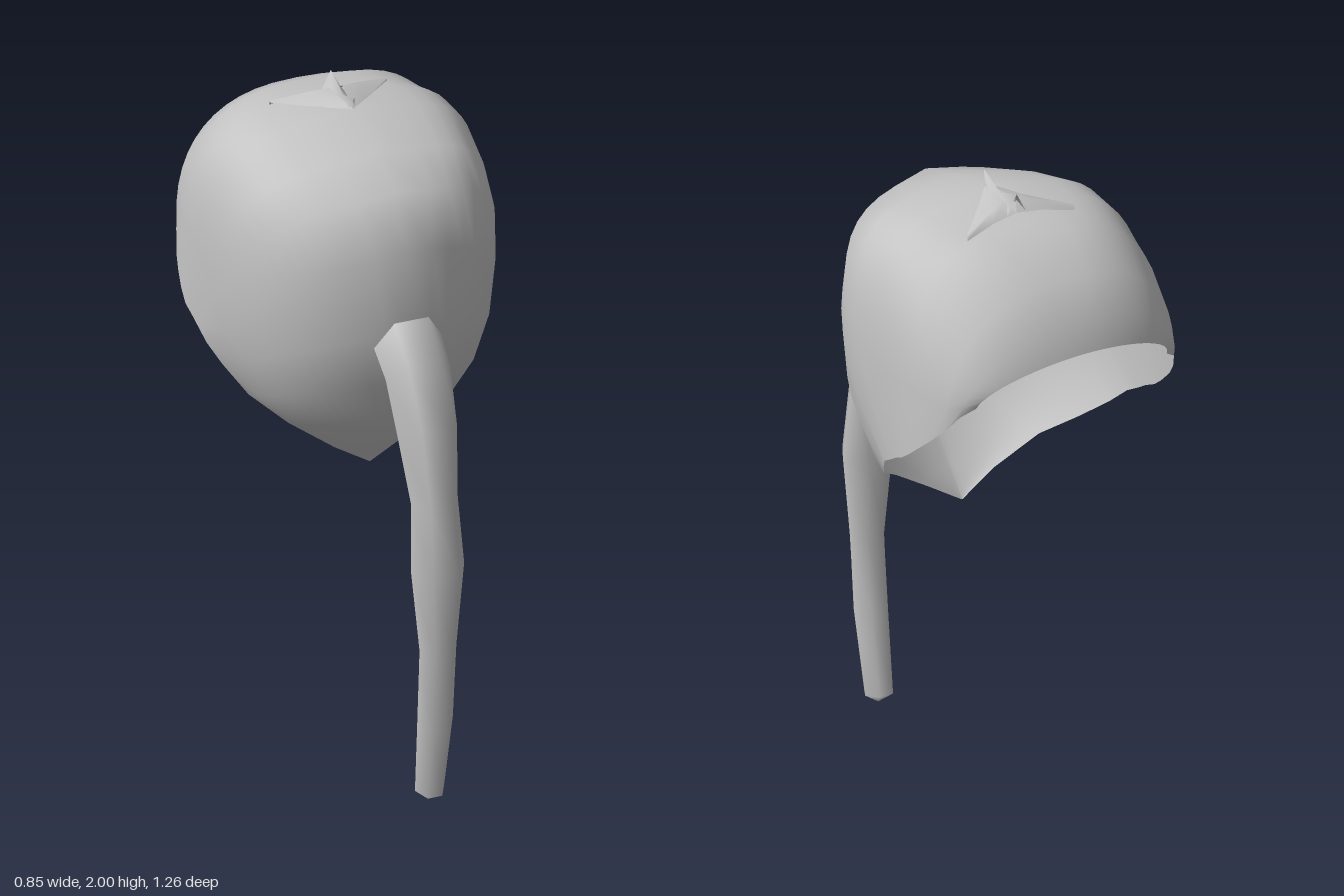
import * as THREE from 'three';

const grey = new THREE.MeshStandardMaterial({ color: 0xc4c4c4, side: THREE.DoubleSide });
grey.name = 'plain grey';

// Smooth skin over rows of points; closed rows wrap around
function loft(name, rows, closed) {
  const n = rows[0].length, index = [];
  const steps = closed ? n : n - 1;
  for (let i = 0; i < rows.length - 1; i++) {
    for (let j = 0; j < steps; j++) {
      const a = i * n + j, b = i * n + (j + 1) % n;
      index.push(a, b, a + n, b, b + n, a + n);
    }
  }
  const geometry = new THREE.BufferGeometry();
  geometry.setAttribute('position', new THREE.Float32BufferAttribute(rows.flat(2), 3));
  geometry.setIndex(index);
  geometry.computeVertexNormals();
  const mesh = new THREE.Mesh(geometry, grey);
  mesh.name = name;
  return mesh;
}

// Hood: arches from the centre line down to the open rim.
// Each station: centre z, y; rim z, y, half width; squareness; centre crease
function makeHood() {
  const stations = [
    [0.04, 0.87, 0.04, 0.87, 0.002, 1.5, 0],
    [0.10, 0.95, 0.045, 0.94, 0.11, 1.6, 0.1],
    [0.24, 1.12, 0.01, 1.03, 0.24, 1.9, 0.12],
    [0.31, 1.27, -0.07, 1.10, 0.33, 2.1, 0.13],
    [0.34, 1.45, -0.15, 1.17, 0.38, 2.4, 0.13],
    [0.32, 1.70, -0.20, 1.22, 0.408, 2.6, 0.13],
    [0.24, 1.855, -0.25, 1.25, 0.415, 3.1, 0.13],
    [0.08, 1.905, -0.28, 1.27, 0.42, 3.7, 0.12],
    [-0.10, 1.955, -0.32, 1.29, 0.425, 3.9, 0.13],
    [-0.22, 1.945, -0.36, 1.32, 0.422, 3.8, 0.1],
    [-0.30, 1.92, -0.40, 1.355, 0.415, 3.4, 0.04],
    [-0.38, 1.915, -0.44, 1.39, 0.405, 3, 0],
    [-0.52, 1.84, -0.49, 1.44, 0.385, 2.5, 0],
    [-0.60, 1.73, -0.535, 1.50, 0.36, 2.1, 0],
    [-0.63, 1.65, -0.56, 1.53, 0.32, 1.9, 0],
  ];
  const segments = 24;
  const rows = stations.map(([mz, my, rz, ry, w, power, crease]) => {
    const row = [];
    for (let j = 0; j <= segments; j++) {
      const a = (j / segments - 0.5) * Math.PI;
      const s = Math.abs(Math.sin(a)) ** (2 / power);
      const f = 1 - Math.max(0, Math.cos(a)) ** (2 / power) + crease * s * (1 - s);
      row.push([w * s * Math.sign(a), my + (ry - my) * f, mz + (rz - mz) * f]);
    }
    return row;
  });
  return loft('hood', rows, false);
}

// Hanging stem: six-sided rings between an outer and an inner edge.
// Each ring: outer z, y; inner z, y; half width
function makeStem() {
  const rings = [
    [0.23, 1.40, 0.23, 1.40, 0],
    [0.36, 1.50, 0.305, 1.33, 0.105],
    [0.47, 1.40, 0.35, 1.30, 0.10],
    [0.56, 1.23, 0.40, 1.17, 0.092],
    [0.60, 1.00, 0.47, 1.00, 0.072],
    [0.63, 0.78, 0.49, 0.80, 0.082],
    [0.61, 0.53, 0.515, 0.53, 0.057],
    [0.59, 0.27, 0.49, 0.29, 0.055],
    [0.54, 0.025, 0.455, 0.04, 0.045],
    [0.50, 0, 0.50, 0, 0],
  ];
  const rows = rings.map(([oz, oy, iz, iy, w]) => {
    const row = [];
    for (let j = 0; j < 6; j++) {
      const a = j * Math.PI / 3;
      const t = Math.sin(a) / Math.sin(Math.PI / 3) / 2;
      row.push([w * Math.cos(a), (oy + iy) / 2 + (oy - iy) * t, (oz + iz) / 2 + (oz - iz) * t]);
    }
    return row;
  });
  return loft('stem', rows, true);
}

// Gathered folds at the crown
function makeCrown() {
  const crown = new THREE.Group();
  crown.name = 'crown';
  // upright pleat along the middle, raised at both ends
  crown.add(loft('crownPleat', [
    [[-0.03, 1.94, -0.26], [0, 2, -0.26], [0.03, 1.94, -0.26]],
    [[-0.03, 1.94, -0.17], [0, 1.965, -0.17], [0.03, 1.94, -0.17]],
    [[-0.01, 1.95, -0.10], [0, 2, -0.08], [0.01, 1.95, -0.10]],
  ], false));
  // a tapered flap reaching out to each side
  for (const side of [-1, 1]) {
    crown.add(loft(side < 0 ? 'rightFlap' : 'leftFlap', [
      [[0, 1.94, -0.26], [side * 0.02, 1.965, -0.22], [0, 1.96, -0.09]],
      [[side * 0.08, 1.93, -0.265], [side * 0.07, 1.955, -0.24], [side * 0.07, 1.94, -0.165]],
      [[side * 0.18, 1.91, -0.285], [side * 0.18, 1.925, -0.28], [side * 0.18, 1.92, -0.275]],
    ], false));
  }
  return crown;
}

export function createModel() {
  const model = new THREE.Group();
  model.name = 'hoodWithStem';
  model.add(makeHood(), makeStem(), makeCrown());
  return model;
}
